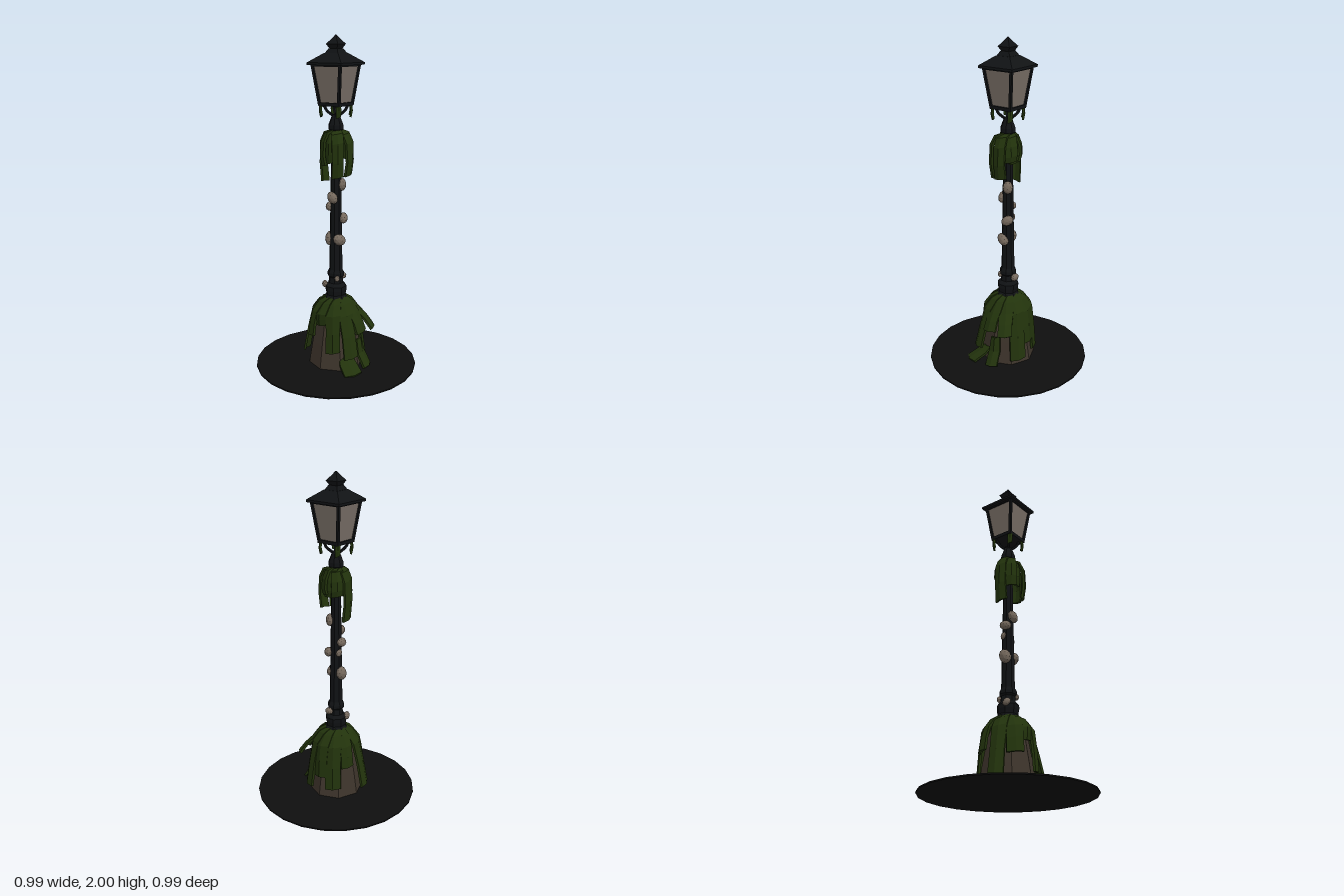
import * as THREE from 'three';

const mat = (name, color, side = THREE.FrontSide) => {
  const m = new THREE.MeshStandardMaterial({ color, side, flatShading: true });
  m.name = name;
  return m;
};

export function createModel() {
  const iron = mat('blackened iron', 0x101214);
  const soil = mat('dark soil', 0x0e0e0e);
  const rock = mat('brown stone', 0x3d342b);
  const moss = mat('moss green', 0x22330c, THREE.DoubleSide);
  const glass = mat('dusty glass', 0x786e66);
  const fungus = mat('pale fungus', 0x75695d);

  const model = new THREE.Group();
  model.name = 'overgrownStreetLamp';
  const group = (name) => {
    const g = new THREE.Group();
    g.name = name;
    model.add(g);
    return g;
  };
  const add = (parent, name, geo, material) => {
    const mesh = new THREE.Mesh(geo, material);
    mesh.name = name;
    parent.add(mesh);
    return mesh;
  };
  const rad = THREE.MathUtils.degToRad;

  // Square frustum given by half widths and heights
  const square = (parent, name, bottom, top, y0, y1, material) => {
    const geo = new THREE.CylinderGeometry(top * Math.SQRT2, bottom * Math.SQRT2, y1 - y0, 4);
    geo.rotateY(Math.PI / 4).translate(0, (y0 + y1) / 2, 0);
    return add(parent, name, geo, material);
  };
  // Straight square bar between two points
  const bar = (parent, name, a, b, r) => {
    const mesh = add(parent, name, new THREE.CylinderGeometry(r, r, a.distanceTo(b), 4).rotateY(Math.PI / 4), iron);
    mesh.position.copy(a).add(b).multiplyScalar(0.5);
    mesh.quaternion.setFromUnitVectors(new THREE.Vector3(0, 1, 0), b.clone().sub(a).normalize());
  };
  // Drooping moss sheet: a box bent along a radius/height path
  const drape = (parent, angle, width, path, thick = 0.014) => {
    const n = path.length - 1;
    const geo = new THREE.BoxGeometry(1, 1, 1, 2, n, 1);
    const p = geo.attributes.position;
    for (let i = 0; i < p.count; i++) {
      const u = p.getX(i), k = Math.round((0.5 - p.getY(i)) * n), w = p.getZ(i);
      const [r, y] = path[k];
      const prev = path[Math.max(k - 1, 0)], next = path[Math.min(k + 1, n)];
      const dr = next[0] - prev[0], dy = next[1] - prev[1], len = Math.hypot(dr, dy);
      const grow = width * (k === 0 ? 0.75 : 1 - 0.06 * (k % 2));
      p.setXYZ(i, u * grow, y + (w * thick * dr) / len + u * 0.012,
        r - (w * thick * dy) / len - Math.abs(u) * width * 0.3);
    }
    geo.rotateY(rad(angle));
    geo.computeVertexNormals();
    add(parent, 'mossDrape', geo, moss);
  };

  // Ground disc and faceted stone plinth
  add(model, 'groundDisc', new THREE.CylinderGeometry(0.497, 0.497, 0.008, 24).translate(0, 0.004, 0), soil);
  add(model, 'stonePlinth', new THREE.LatheGeometry(
    [[0, 0.005], [0.168, 0.005], [0.145, 0.15], [0.118, 0.3], [0.085, 0.4], [0, 0.41]]
      .map(([x, y]) => new THREE.Vector2(x, y)), 8, Math.PI / 4), rock);

  // Iron post: flared foot, rings, tapering shaft and collar
  const profile = [[0, 0.37], [0.092, 0.37], [0.085, 0.41], [0.06, 0.45], [0.066, 0.48], [0.066, 0.505],
    [0.046, 0.525], [0.042, 0.56], [0.052, 0.57], [0.052, 0.59], [0.041, 0.61], [0.036, 0.9],
    [0.029, 1.34], [0.029, 1.45], [0.045, 1.465], [0.045, 1.49], [0.022, 1.55], [0, 1.555]];
  add(model, 'post', new THREE.LatheGeometry(profile.map(([x, y]) => new THREE.Vector2(x, y)), 8, Math.PI / 8), iron);

  // Lantern: floor, glass, corner bars, eaves, roof and finial
  const lantern = group('lantern');
  square(lantern, 'lanternFloor', 0.074, 0.076, 1.602, 1.622, iron);
  square(lantern, 'glassPanes', 0.065, 0.094, 1.62, 1.832, glass);
  square(lantern, 'topFrame', 0.101, 0.103, 1.825, 1.842, iron);
  square(lantern, 'eaves', 0.119, 0.119, 1.833, 1.847, iron);
  square(lantern, 'roof', 0.119, 0.048, 1.847, 1.9, iron);
  square(lantern, 'finialNeck', 0.045, 0.03, 1.9, 1.925, iron);
  square(lantern, 'finialLower', 0.024, 0.041, 1.92, 1.95, iron);
  square(lantern, 'finialMiddle', 0.041, 0.016, 1.95, 1.98, iron);
  square(lantern, 'finialTip', 0.016, 0.003, 1.98, 2, iron);
  for (const sx of [-1, 1]) for (const sz of [-1, 1]) {
    bar(lantern, 'cornerBar', new THREE.Vector3(sx * 0.067, 1.61, sz * 0.067),
      new THREE.Vector3(sx * 0.096, 1.835, sz * 0.096), 0.011);
    const arm = new THREE.CatmullRomCurve3([[0.008, 1.54], [0.024, 1.555], [0.042, 1.58], [0.05, 1.61]]
      .map(([r, y]) => new THREE.Vector3(sx * r, y, sz * r)));
    add(lantern, 'supportArm', new THREE.TubeGeometry(arm, 6, 0.009, 5), iron);
    drape(lantern, 45 * sx * (sz > 0 ? 1 : 3), 0.03, [[0.075, 1.61], [0.092, 1.6], [0.094, 1.57], [0.088, 1.54]], 0.012);
  }

  // Moss hanging from the top of the shaft: angle, width, reach, lowest point
  const upper = group('upperMoss');
  for (const [angle, width, reach, low] of [
    [0, 0.085, 0.07, 1.27], [42, 0.07, 0.105, 1.19], [95, 0.075, 0.105, 1.2], [140, 0.08, 0.08, 1.3],
    [180, 0.085, 0.066, 1.29], [-135, 0.07, 0.08, 1.3], [-85, 0.075, 0.095, 1.15], [-40, 0.07, 0.09, 1.25]]) {
    drape(upper, angle, width, [[0.025, 1.455], [reach * 0.72, 1.44], [reach * 0.95, 1.39],
      [reach, (1.37 + low) / 2], [reach * 0.88, low]]);
  }

  // Moss over the plinth: angle, width, outer reach, lowest point
  const lower = group('lowerMoss');
  for (const [angle, width, reach, low] of [
    [28, 0.09, 0.165, 0.12], [62, 0.09, 0.215, 0.1], [90, 0.09, 0.2, 0.24], [122, 0.09, 0.235, 0.24],
    [148, 0.1, 0.19, 0.05], [180, 0.1, 0.165, 0.14], [-148, 0.1, 0.17, 0.07], [-115, 0.08, 0.17, 0.22],
    [-73, 0.09, 0.205, 0.06], [-38, 0.1, 0.17, 0.2], [-8, 0.09, 0.14, 0.28]]) {
    drape(lower, angle, width, [[0.06, 0.43], [0.105, 0.405], [0.145, 0.35],
      [(0.15 + reach) / 2, Math.max((0.36 + low) / 2, low + 0.04)], [reach, low]]);
  }
  // Loose moss fallen against the foot
  drape(lower, 60, 0.11, [[0.15, 0.08], [0.19, 0.05], [0.265, 0.012]]);
  drape(lower, 98, 0.08, [[0.165, 0.19], [0.18, 0.1], [0.225, 0.015]]);

  // Small fungus lumps climbing the post: x, y, z, size
  const lumps = group('fungusLumps');
  [[0.028, 1.135, -0.02, 0.036], [0, 1.06, 0.036, 0.036], [-0.036, 1, 0.008, 0.034],
    [0.038, 0.93, -0.024, 0.035], [-0.03, 0.935, -0.01, 0.022], [-0.036, 0.8, 0.006, 0.042],
    [0.034, 0.8, 0.012, 0.04], [0.008, 0.555, -0.058, 0.026], [-0.058, 0.51, 0.034, 0.024],
    [0.034, 0.56, 0.036, 0.018]].forEach(([x, y, z, s], i) => {
    const lump = add(lumps, 'fungusLump', new THREE.IcosahedronGeometry(s, 1), fungus);
    lump.position.set(x, y, z);
    lump.rotation.set(0, Math.atan2(x, z), i * 0.7);
    lump.scale.set(0.85, 1.1, 0.75);
  });

  return model;
}
